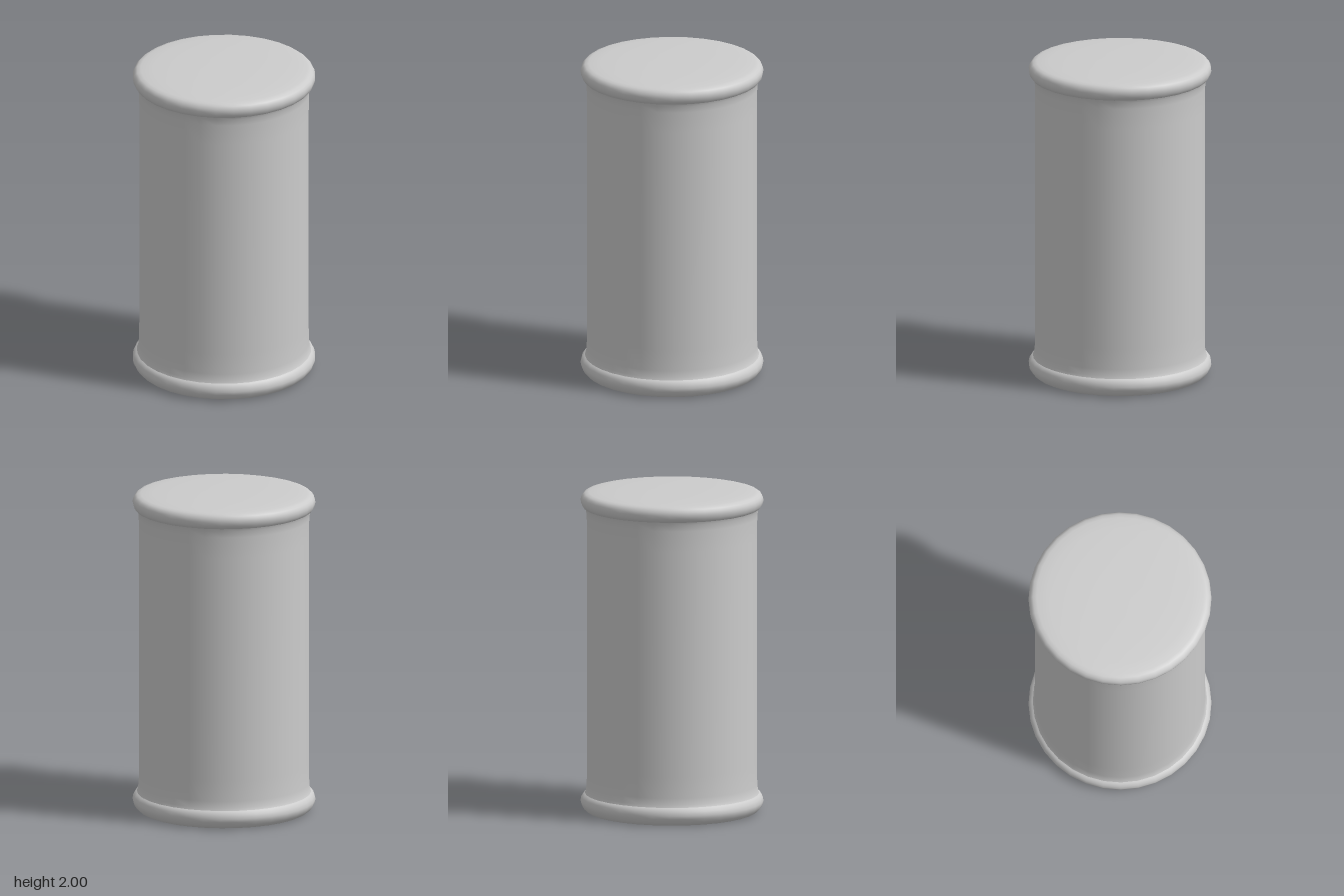
import * as THREE from 'three';

const SIDES = 32;
const material = new THREE.MeshStandardMaterial({ color: 0xcccccc });

// Revolves a bottom-to-top [radius, height] profile into a named mesh
function turned(name, profile) {
  const points = profile.map(([r, y]) => new THREE.Vector2(r, y));
  const mesh = new THREE.Mesh(new THREE.LatheGeometry(points, SIDES), material);
  mesh.name = name;
  return mesh;
}

export function createModel() {
  const group = new THREE.Group();
  group.name = 'canister';

  // Straight wall, flaring slightly where it meets the rims
  group.add(turned('body', [
    [0.535, 0.11], [0.527, 0.13], [0.522, 0.17], [0.52, 0.3],
    [0.52, 1.7], [0.522, 1.83], [0.527, 1.87], [0.535, 1.89],
  ]));

  // Rounded foot ring with a shallow recess underneath
  group.add(turned('bottomRim', [
    [0.5, 0.016], [0.503, 0.004], [0.512, 0], [0.525, 0.006], [0.542, 0.022],
    [0.556, 0.045], [0.56, 0.066], [0.555, 0.09], [0.542, 0.109], [0.52, 0.121],
  ]));
  group.add(turned('base', [[0, 0.016], [0.502, 0.016]]));

  // Rounded lid edge running into a slightly domed top
  group.add(turned('lid', [
    [0.52, 1.88], [0.542, 1.891], [0.555, 1.91], [0.56, 1.934],
    [0.556, 1.953], [0.547, 1.968], [0.533, 1.979], [0.51, 1.985],
    [0.44, 1.992], [0.3, 1.997], [0.15, 1.9995], [0, 2],
  ]));

  return group;
}
